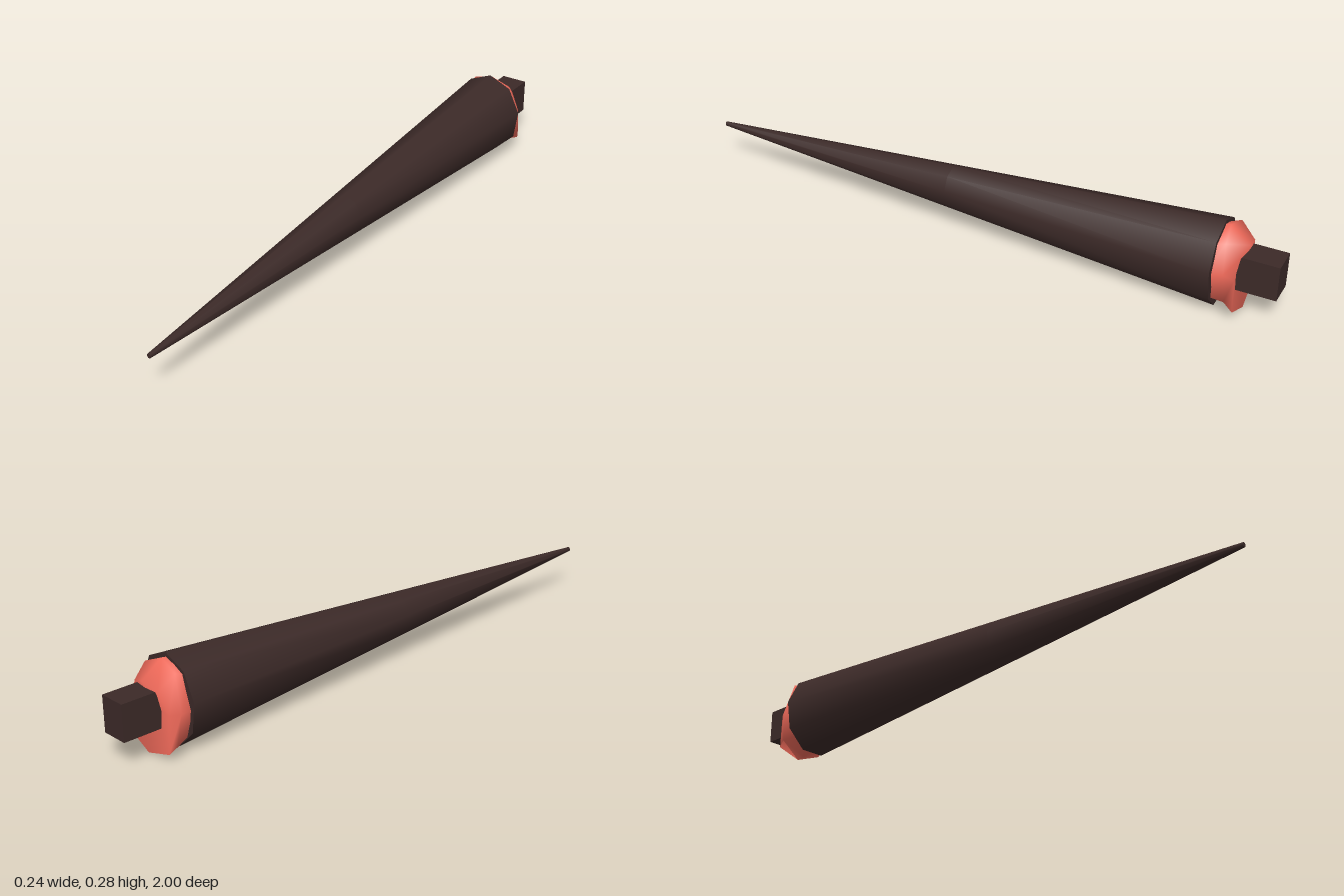
import * as THREE from 'three';

const dark = new THREE.MeshStandardMaterial({ color: 0x3c2a28 });
const flesh = new THREE.MeshStandardMaterial({ color: 0xf26b5b, side: THREE.DoubleSide });

// Skins a stack of closed rings (front to back) and closes the last onto a centre point.
function skin(rings, centre) {
  const n = rings[0].length;
  const index = [];
  for (let r = 0; r < rings.length; r++) {
    for (let i = 0; i < n; i++) {
      const j = (i + 1) % n;
      const a = r * n + i, b = r * n + j;
      if (r < rings.length - 1) index.push(a, b, a + n, b, b + n, a + n);
      else index.push(a, b, rings.length * n);
    }
  }
  const geometry = new THREE.BufferGeometry();
  geometry.setAttribute('position', new THREE.Float32BufferAttribute([...rings.flat(), centre].flat(), 3));
  geometry.setIndex(index);
  geometry.computeVertexNormals();
  return geometry;
}

export function createModel() {
  const group = new THREE.Group();
  const add = (name, geometry, material) => {
    const mesh = new THREE.Mesh(geometry, material);
    mesh.name = name;
    group.add(mesh);
  };

  // Long nine-sided tapering spike, slightly taller than wide
  const spike = new THREE.CylinderGeometry(0.008, 0.142, 1.815, 9, 2);
  spike.rotateY(Math.PI).rotateX(Math.PI / 2).scale(0.86, 1, 1).translate(0, 0.141, 0.0925);
  add('spike', spike, dark);

  // Lumpy stump: buried ring, shoulder, raised rim, then a shallow dish
  const buried = [];
  for (let i = 0; i < 8; i++) {
    const t = (i * Math.PI) / 4;
    buried.push([0.1 * Math.sin(t), 0.141 + 0.125 * Math.cos(t), -0.79]);
  }
  const shoulder = [
    [0, 0.272, -0.83], [0.065, 0.245, -0.84], [0.1, 0.16, -0.85], [0.1, 0.07, -0.86],
    [0, 0.003, -0.86], [-0.095, 0.04, -0.86], [-0.107, 0.14, -0.85], [-0.075, 0.25, -0.84],
  ];
  const rim = [
    [0, 0.222, -0.9], [0.055, 0.205, -0.885], [0.082, 0.14, -0.88], [0.086, 0.032, -0.885],
    [0, 0, -0.892], [-0.088, 0.022, -0.885], [-0.09, 0.14, -0.88], [-0.058, 0.205, -0.89],
  ];
  add('stump', skin([buried, shoulder, rim], [0, 0.14, -0.865]), flesh);

  // Square peg standing out of the stump
  const peg = new THREE.BoxGeometry(0.09, 0.115, 0.17);
  peg.translate(0, 0.1425, -0.915);
  add('peg', peg, dark);

  return group;
}
